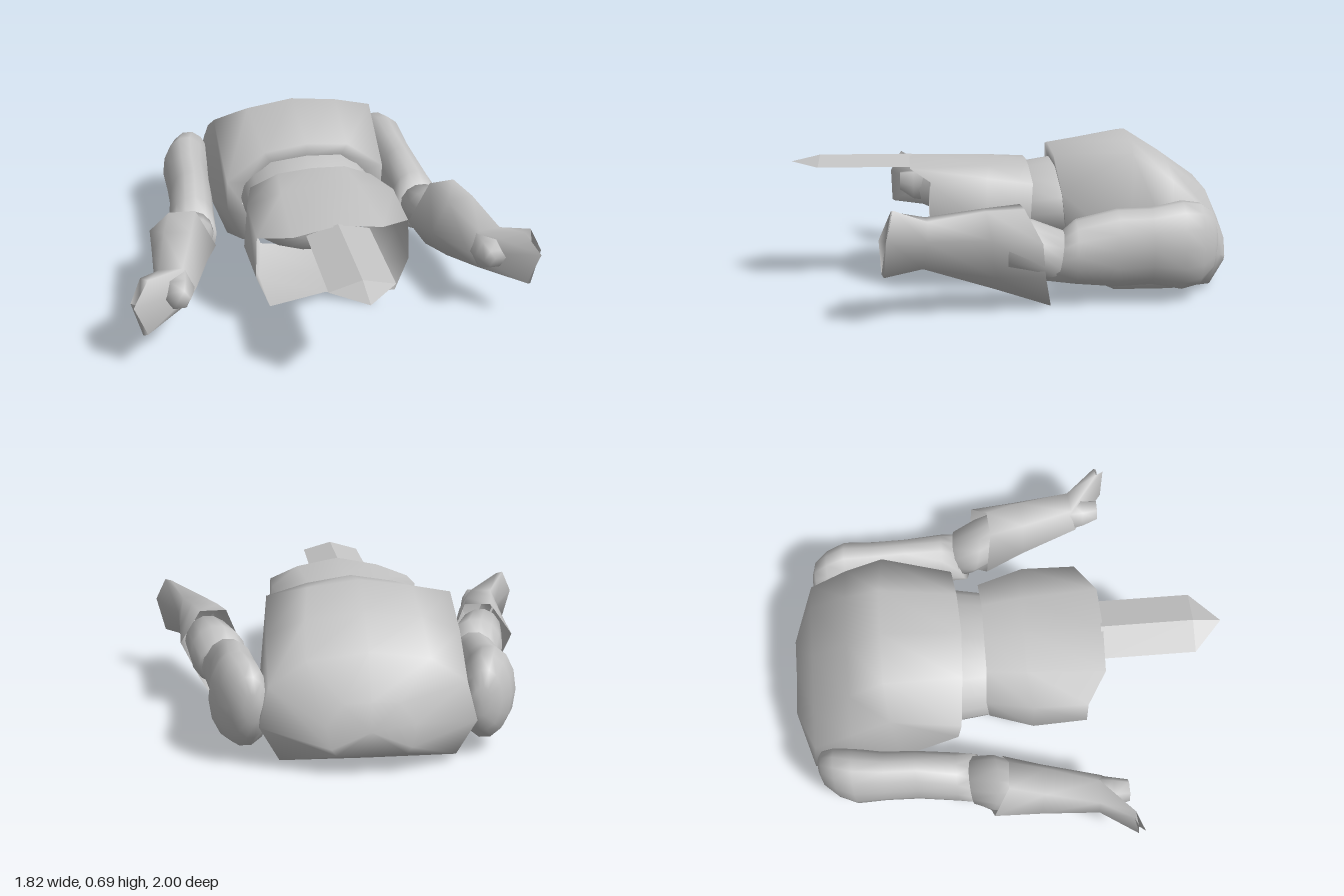
import * as THREE from 'three';

const grey = new THREE.MeshStandardMaterial({ color: 0xc4c4c4, side: THREE.DoubleSide });
grey.name = 'plain grey';

// Skins closed rings of [x, y, z] points, ordered from back to front
function loft(name, rings, capBack = false, capFront = false) {
  const n = rings[0].length, pos = rings.flat(2), index = [];
  for (let i = 0; i < rings.length - 1; i++) {
    for (let j = 0; j < n; j++) {
      const k = (j + 1) % n, a = i * n + j, b = i * n + k;
      index.push(a, b, b + n, a, b + n, a + n);
    }
  }
  // Smoothly shaded end caps fanned around a middle point
  const cap = (row, flip) => {
    const middle = pos.length / 3;
    pos.push(...[0, 1, 2].map(c => rings[row].reduce((s, p) => s + p[c], 0) / n));
    for (let j = 0; j < n; j++) {
      const a = row * n + j, b = row * n + (j + 1) % n;
      index.push(middle, flip ? b : a, flip ? a : b);
    }
  };
  if (capBack) cap(0, true);
  if (capFront) cap(rings.length - 1, false);
  const geo = new THREE.BufferGeometry();
  geo.setAttribute('position', new THREE.Float32BufferAttribute(pos, 3));
  geo.setIndex(index);
  geo.computeVertexNormals();
  const mesh = new THREE.Mesh(geo, grey);
  mesh.name = name;
  return mesh;
}

// Completes a half profile (top to bottom on +x) into a symmetric ring
const mirrored = half => [
  ...half.map(([x, y, z]) => [-x, y, z]),
  ...half.slice(1, -1).reverse(),
];

// Elliptical ring across z; tilt leans the ring forward with height
function oval(x, y, z, rx, ry, tilt = 0, n = 14) {
  return Array.from({ length: n }, (_, i) => {
    const t = i / n * Math.PI * 2;
    return [x + rx * Math.cos(t), y + ry * Math.sin(t), z + tilt * Math.sin(t)];
  });
}

function createArm(name) {
  const arm = new THREE.Group();
  arm.name = name;

  // Rounded shoulder set into the chest, running down to the elbow
  arm.add(loft('upperArm', [
    oval(0.46, 0.25, -0.88, 0.04, 0.06),
    oval(0.475, 0.25, -0.86, 0.075, 0.13),
    oval(0.495, 0.245, -0.8, 0.108, 0.18),
    oval(0.52, 0.245, -0.715, 0.12, 0.195),
    oval(0.53, 0.245, -0.58, 0.107, 0.168),
    oval(0.535, 0.24, -0.43, 0.105, 0.17),
    oval(0.555, 0.23, -0.25, 0.11, 0.14),
    oval(0.565, 0.21, -0.15, 0.115, 0.1, -0.03),
  ], true, true));

  // Elbow reaching into the cuff
  arm.add(loft('elbow', [
    oval(0.575, 0.225, -0.18, 0.112, 0.1, -0.015),
    oval(0.6, 0.25, -0.09, 0.128, 0.13, 0.03),
    oval(0.645, 0.28, 0.05, 0.11, 0.12),
  ], true, true));

  // Open cuff narrowing to the wrist, then flaring into a flat hand
  arm.add(loft('forearmAndHand', [
    [[0.77, 0.31, -0.09], [0.68, 0.44, -0.02], [0.56, 0.44, -0.01],
      [0.47, 0.22, -0.035], [0.6, 0.005, -0.14], [0.69, 0.15, -0.11]],
    [[0.78, 0.33, 0.12], [0.72, 0.44, 0.14], [0.6, 0.43, 0.15],
      [0.535, 0.26, 0.14], [0.63, 0.09, 0.1], [0.72, 0.16, 0.1]],
    [[0.795, 0.33, 0.38], [0.77, 0.41, 0.38], [0.67, 0.41, 0.39],
      [0.62, 0.31, 0.41], [0.67, 0.22, 0.4], [0.75, 0.21, 0.4]],
    [[0.91, 0.37, 0.54], [0.86, 0.475, 0.515], [0.83, 0.465, 0.525],
      [0.9, 0.365, 0.572], [0.85, 0.215, 0.565], [0.87, 0.205, 0.555]],
  ], false, true));

  // Stubby thumb
  arm.add(loft('thumb', [
    oval(0.7, 0.32, 0.38, 0.08, 0.09, 0, 6),
    oval(0.7, 0.32, 0.45, 0.065, 0.08, 0, 6),
    oval(0.705, 0.34, 0.52, 0.05, 0.05, 0, 6),
  ], false, true));
  return arm;
}

export function createModel() {
  const model = new THREE.Group();
  model.name = 'torso';

  // Boxy chest, closed at the neck, rounding off and folding in at the waist
  model.add(loft('chest', [
    [[0, 0.29, -0.97], [0.11, 0.285, -0.967], [0.18, 0.2, -0.986],
      [0.16, 0.11, -0.998], [0.14, 0.085, -1], [0, 0.08, -1]],
    [[0, 0.47, -0.87], [0.25, 0.44, -0.875], [0.4, 0.34, -0.885],
      [0.44, 0.18, -0.905], [0.36, 0.03, -0.88], [0, 0, -0.81]],
    [[0, 0.59, -0.7], [0.24, 0.565, -0.7], [0.4, 0.5, -0.7],
      [0.43, 0.2, -0.7], [0.36, 0.01, -0.7], [0, 0, -0.7]],
    [[0, 0.69, -0.54], [0.22, 0.66, -0.54], [0.39, 0.625, -0.52],
      [0.43, 0.2, -0.5], [0.36, 0.01, -0.45], [0, 0.005, -0.43]],
    [[0, 0.63, -0.18], [0.2, 0.6, -0.19], [0.38, 0.45, -0.21],
      [0.38, 0.28, -0.23], [0.31, 0.08, -0.27], [0, 0.04, -0.28]],
    [[0, 0.56, -0.19], [0.17, 0.54, -0.2], [0.29, 0.43, -0.22],
      [0.31, 0.31, -0.23], [0.24, 0.19, -0.26], [0, 0.13, -0.27]],
  ].map(mirrored), true, false));

  // Rounded belly linking chest and skirt
  model.add(loft('belly', [
    oval(0, 0.35, -0.3, 0.31, 0.2, 0, 20),
    oval(0, 0.35, -0.2, 0.315, 0.21, 0, 20),
    oval(0, 0.335, -0.04, 0.29, 0.2, 0, 20),
    oval(0, 0.33, 0.04, 0.22, 0.15, 0, 20),
    oval(0, 0.33, 0.08, 0.11, 0.08, 0, 20),
  ], false, true));

  // Open skirt with a longer top flap
  model.add(loft('skirt', [
    [[0, 0.555, -0.08], [0.16, 0.545, -0.08], [0.29, 0.48, -0.09],
      [0.3, 0.32, -0.08], [0.25, 0.17, -0.08], [0, 0.12, -0.08]],
    [[0, 0.575, 0.1], [0.18, 0.55, 0.1], [0.34, 0.515, 0.12],
      [0.36, 0.3, 0.12], [0.29, 0.1, 0.1], [0, 0.06, 0.06]],
    [[0, 0.578, 0.46], [0.2, 0.54, 0.455], [0.34, 0.5, 0.365],
      [0.35, 0.3, 0.37], [0.29, 0.13, 0.37], [0, 0.04, 0.2]],
  ].map(mirrored)));

  // Ridged cloth strip ending in a point
  const strip = new THREE.BufferGeometry();
  strip.setAttribute('position', new THREE.Float32BufferAttribute([
    -0.14, 0.54, 0.45, 0, 0.58, 0.45, 0.14, 0.54, 0.45,
    -0.14, 0.54, 0.87, 0, 0.58, 0.87, 0.14, 0.54, 0.87, 0, 0.55, 1,
  ], 3));
  strip.setIndex([0, 3, 4, 0, 4, 1, 1, 4, 5, 1, 5, 2, 3, 6, 4, 4, 6, 5]);
  const flat = strip.toNonIndexed();
  flat.computeVertexNormals();
  const cloth = new THREE.Mesh(flat, grey);
  cloth.name = 'clothStrip';
  model.add(cloth);

  // Matching arms
  const right = createArm('rightArm');
  right.scale.x = -1;
  model.add(createArm('leftArm'), right);
  return model;
}
